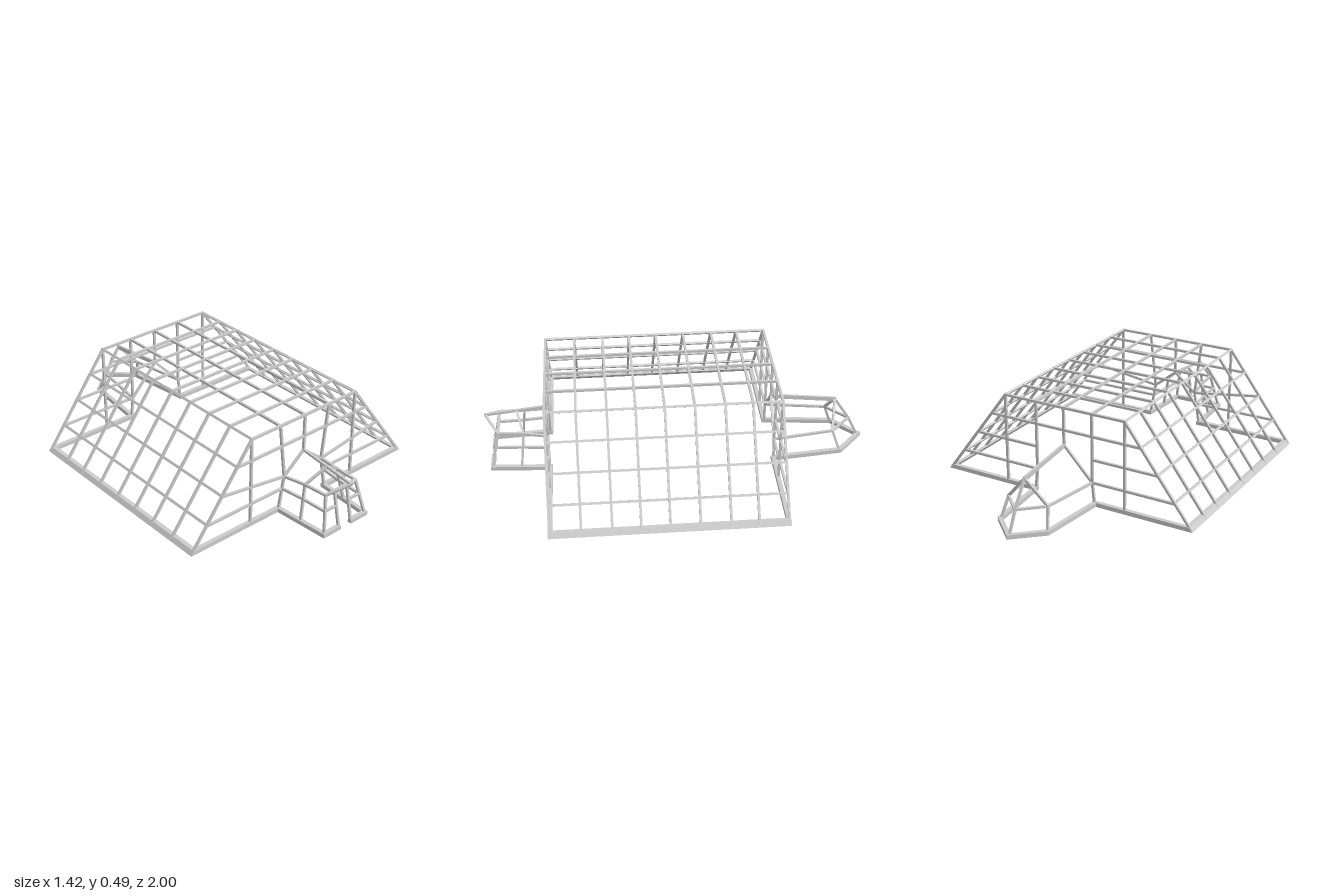
import * as THREE from 'three';

const material = new THREE.MeshStandardMaterial({ color: 0xcccccc, flatShading: true });
const T = 0.012; // bar thickness

// Rectangular bar between two points; facing turns its depth direction
function bar(group, name, a, b, { depth = T, facing } = {}) {
  const A = new THREE.Vector3(...a), B = new THREE.Vector3(...b);
  const dir = B.clone().sub(A), len = dir.length();
  dir.normalize();
  const hint = facing ?? (Math.abs(dir.z) < 0.9 ? [0, 0, 1] : [0, 1, 0]);
  const side = new THREE.Vector3(...hint).cross(dir).normalize();
  const up = new THREE.Vector3().crossVectors(dir, side);
  const mesh = new THREE.Mesh(new THREE.BoxGeometry(T, depth, len + T * 0.6), material);
  mesh.quaternion.setFromRotationMatrix(new THREE.Matrix4().makeBasis(side, up, dir));
  mesh.position.copy(A).add(B).multiplyScalar(0.5);
  mesh.name = name;
  group.add(mesh);
}

// Chain of bars through several points
function chain(group, name, pts) {
  for (let i = 1; i < pts.length; i++) bar(group, name, pts[i - 1], pts[i]);
}

// The same chain on both sides
function pair(group, name, pts) {
  chain(group, name, pts);
  chain(group, name, pts.map(([x, y, z]) => [-x, y, z]));
}

// Mitred sill swept along a ground outline
function sill(path, width, height) {
  const inward = (p, q) => new THREE.Vector2(q[1] - p[1], p[0] - q[0]).normalize();
  const pos = [], index = [];
  const last = path.length - 1;
  path.forEach((p, i) => {
    const n0 = inward(path[Math.max(i - 1, 0)], path[Math.max(i, 1)]);
    const n1 = inward(path[Math.min(i, last - 1)], path[Math.min(i + 1, last)]);
    const m = n0.clone().add(n1).multiplyScalar(width / (1 + n0.dot(n1)));
    // the long sides follow the slope of the hall
    const lean = Math.abs(p[0]) > 0.5 ? -Math.sign(p[0]) * 0.016 : 0;
    const [x, z] = p;
    pos.push(x, 0, z, x + lean, height, z, x + m.x + lean, height, z + m.y, x + m.x, 0, z + m.y);
    if (i < last) for (let k = 0; k < 4; k++) {
      const a = i * 4 + k, b = a + 4, a2 = i * 4 + (k + 1) % 4, b2 = a2 + 4;
      index.push(a, b, b2, a, b2, a2);
    }
  });
  const e = last * 4;
  index.push(0, 1, 2, 0, 2, 3, e, e + 2, e + 1, e, e + 3, e + 2);
  const indexed = new THREE.BufferGeometry();
  indexed.setAttribute('position', new THREE.Float32BufferAttribute(pos, 3));
  indexed.setIndex(index);
  const g = indexed.toNonIndexed();
  g.computeVertexNormals();
  return g;
}

export function createModel() {
  const model = new THREE.Group();
  const part = (name) => {
    const g = new THREE.Group();
    g.name = name;
    model.add(g);
    return g;
  };

  const H = 0.484, F = 0.67, B = -0.5, RX = 0.341, BX = 0.7;
  const slopeX = (y) => BX + (RX - BX) * (y / H);
  const levels = [0.123, 0.245, 0.367];

  // Ground sill, open at the front door
  const half = [[0.035, 0.975], [0.148, 0.975], [0.168, 0.678], [0.712, 0.678],
    [0.712, -0.509], [0.184, -0.509], [0.146, -0.867]];
  const outline = [...half, [0, -1], ...half.slice().reverse().map(([x, z]) => [-x, z])];
  const base = new THREE.Mesh(sill(outline, 0.022, 0.022), material);
  base.name = 'groundSill';
  model.add(base);

  // Hall: cross ribs and lengthwise rails, the slope rails tilted to the slope
  const hall = part('hallFrame');
  for (const z of [B, -0.352, -0.215, -0.065, 0.083, 0.225, 0.366, 0.517, F]) {
    chain(hall, 'rib', [[BX, 0.01, z], [RX, H, z], [-RX, H, z], [-BX, 0.01, z]]);
  }
  for (const s of [1, -1]) {
    for (const y of [...levels, H]) {
      bar(hall, 'slopeRail', [s * slopeX(y), y, B], [s * slopeX(y), y, F], { facing: [s * H, BX - RX, 0] });
    }
  }
  pair(hall, 'roofRail', [[0.16, H, B], [0.16, H, F]]);
  bar(hall, 'ridgeRail', [0, H, B], [0, H, F]);

  // End walls
  for (const [z, name] of [[F, 'frontWall'], [B, 'backWall']]) {
    const wall = part(name);
    const front = z === F;
    pair(wall, 'wallPost', [[RX, 0.01, z], [RX, H, z]]);
    bar(wall, 'centrePost', [0, H, z], [0, 0.288, z]);
    bar(wall, 'upperRail', [-slopeX(levels[2]), levels[2], z], [slopeX(levels[2]), levels[2], z]);
    pair(wall, 'lowerRail', [[slopeX(levels[0]), levels[0], z], [front ? 0.137 : 0.16, levels[0], z]]);
    pair(wall, 'middleRail', [[slopeX(levels[1]), levels[1], z],
      front ? [0.125, 0.187, z] : [0.16, levels[1], z]]);
    pair(wall, 'porchSidePost', [[0.16, H, z],
      front ? [0.125, 0.187, z] : [0.16, levels[0], z]]);
  }

  // Front porch: gabled, with an overhanging peak and a doorway
  const porch = part('frontPorch');
  const peak = [0, 0.252, 0.99], eave = [0.1, 0.2, 0.925], foot = [0.138, 0.01, 0.965];
  chain(porch, 'porchRidge', [[0, 0.288, F], [0, 0.27, 0.828], peak]);
  pair(porch, 'porchEave', [[0.125, 0.187, F], [0.107, 0.196, 0.795], eave]);
  pair(porch, 'innerArch', [[0.157, 0.01, F], [0.125, 0.187, F], [0, 0.288, F]]);
  pair(porch, 'middleArch', [[0.148, 0.01, 0.815], [0.107, 0.196, 0.795], [0, 0.27, 0.828]]);
  pair(porch, 'outerArch', [foot, eave, peak]);
  pair(porch, 'porchRail', [[0.137, 0.123, F], [0.122, 0.123, 0.803], [0.115, 0.123, 0.94], [0.041, 0.123, 0.94]]);
  bar(porch, 'doorLintel', [-0.1, 0.2, 0.925], eave);
  pair(porch, 'doorPost', [[0.041, 0.01, 0.965], [0.041, 0.2, 0.925]]);

  // Back bay: pointed, with a deep ridge narrowing to a raked prow
  const bay = part('backBay');
  const top = [0, 0.25, -0.842], knee = [0.112, 0.123, -0.818];
  bar(bay, 'bayRidge', [0, 0.286, B], [0, 0.248, -0.842], { depth: 0.022 });
  pair(bay, 'bayInnerArch', [[0.172, 0.01, B], [0.16, 0.123, B], [0, 0.288, B]]);
  pair(bay, 'bayRail', [[0.16, 0.123, B], knee, [0, 0.123, -0.925]]);
  pair(bay, 'bayOuterArch', [[0.134, 0.01, -0.858], knee, top]);
  chain(bay, 'prow', [[0, 0.01, -0.98], [0, 0.123, -0.925], top]);

  return model;
}
